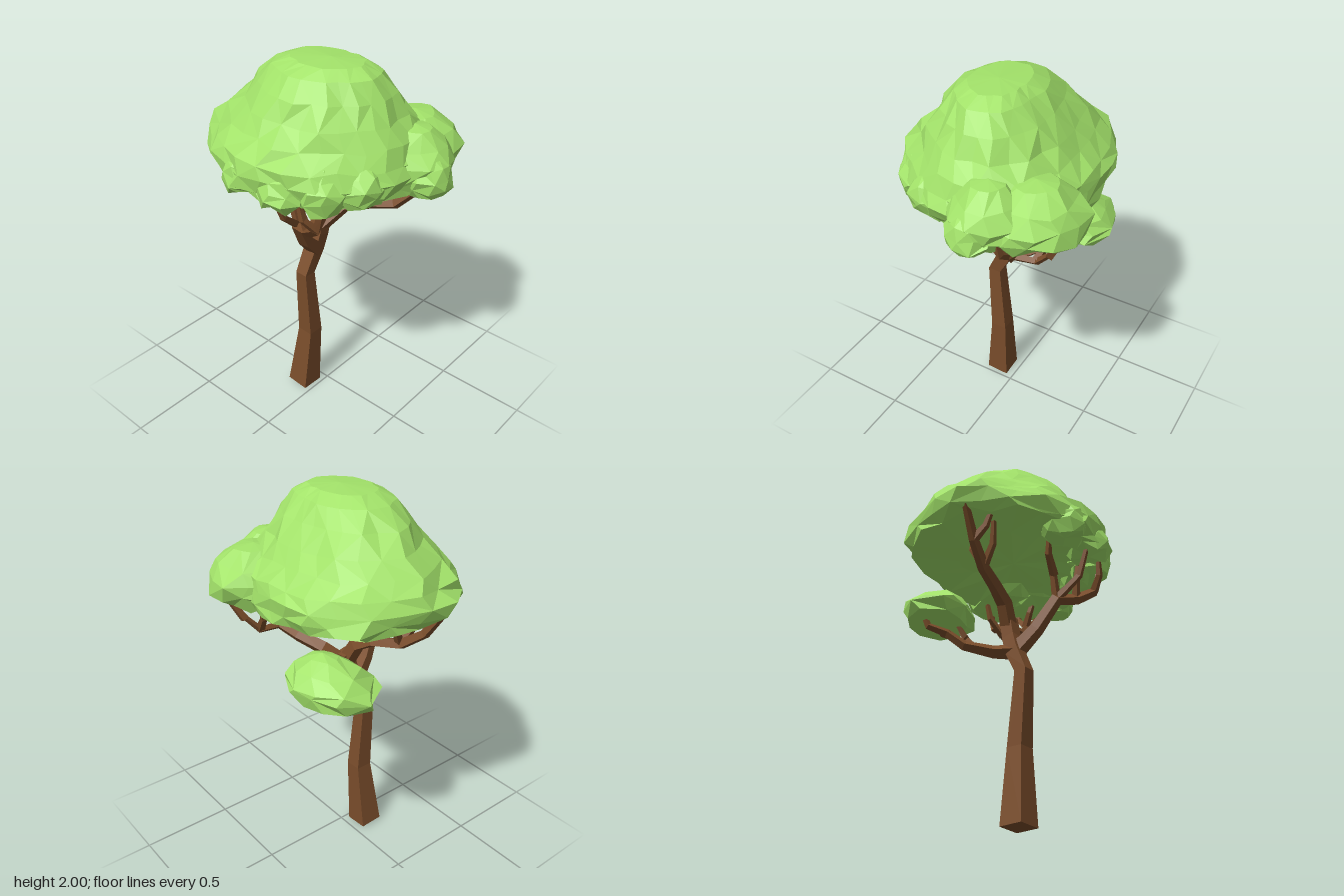
import * as THREE from 'three';

const bark = new THREE.MeshStandardMaterial({ color: 0x7a4d2b, flatShading: true });
const leaf = new THREE.MeshStandardMaterial({ color: 0xa3e36a, flatShading: true });

// Repeatable noise in -1..1
const noise = (a, b) => {
  const s = Math.sin(a * 127.1 + b * 311.7) * 43758.5453;
  return (s - Math.floor(s)) * 2 - 1;
};

// Skin a stack of closed rings and cap both ends
function loft(rings, capStart, capEnd) {
  const n = rings[0].length, pos = [], idx = [];
  rings.forEach(r => r.forEach(p => pos.push(p.x, p.y, p.z)));
  for (let i = 0; i < rings.length - 1; i++) {
    for (let j = 0; j < n; j++) {
      const k = (j + 1) % n, a = i * n + j, b = i * n + k, c = b + n, d = a + n;
      if ((i + j) % 2) idx.push(a, b, c, a, c, d);
      else idx.push(a, b, d, b, c, d);
    }
  }
  const s = pos.length / 3, last = (rings.length - 1) * n;
  pos.push(...capStart, ...capEnd);
  for (let j = 0; j < n; j++) {
    const k = (j + 1) % n;
    idx.push(s, k, j, s + 1, last + j, last + k);
  }
  const g = new THREE.BufferGeometry();
  g.setAttribute('position', new THREE.Float32BufferAttribute(pos, 3));
  g.setIndex(idx);
  g.computeVertexNormals();
  return g;
}

// Four-sided limb through [x, y, z, half width] stations
function limb(stations) {
  const pts = stations.map(s => new THREE.Vector3(s[0], s[1], s[2]));
  const u = new THREE.Vector3(1, 0, 1).normalize();
  const rings = pts.map((p, i) => {
    const t = pts[Math.min(i + 1, pts.length - 1)].clone().sub(pts[Math.max(i - 1, 0)]).normalize();
    u.addScaledVector(t, -u.dot(t)).normalize();
    const v = t.clone().cross(u), r = stations[i][3] * Math.SQRT2;
    return [0, 1, 2, 3].map(k => {
      const a = k * Math.PI / 2;
      return p.clone().addScaledVector(u, r * Math.cos(a)).addScaledVector(v, r * Math.sin(a));
    });
  });
  return loft(rings, pts[0].toArray(), pts[pts.length - 1].toArray());
}

// Leaf clump: levels run from the top down as [scale, y]; radius(angle) gives the outline,
// squash narrows the depth towards the top
function clump({ centre: [cx, cz], top, levels, radius, sides, bottom, rough, tilt = 0, squash = 0, lean = [0, 0], seed }) {
  const y0 = levels[levels.length - 1][1];
  const rings = levels.map(([s, y], i) => Array.from({ length: sides }, (_, j) => {
    const a = ((j + (i % 2) * 0.3) / sides) * Math.PI * 2;
    const r = radius(a) * s * (1 + rough * noise(i + seed, j));
    const h = (y - y0) / (top - y0);
    const x = r * Math.cos(a), z = r * Math.sin(a) * (1 - squash * h);
    const dy = (tilt * x + rough * 0.3 * noise(j + seed, i + 40)) * (1 - h);
    return new THREE.Vector3(cx + x + lean[0] * h, y + dy, cz + z + lean[1] * h);
  }));
  return loft(rings, [cx + lean[0], top, cz + lean[1]], [cx, bottom, cz]);
}

// Interpolate evenly spaced outline radii
const outline = radii => a => {
  const f = (a / (Math.PI * 2)) * radii.length, i = Math.floor(f);
  return THREE.MathUtils.lerp(radii[i % radii.length], radii[(i + 1) % radii.length], f - i);
};

export function createModel() {
  const tree = new THREE.Group();
  tree.name = 'tree';
  const add = (name, geometry, material) => {
    const m = new THREE.Mesh(geometry, material);
    m.name = name;
    tree.add(m);
  };

  // Trunk with its bends and crotch
  add('trunk', limb([[-0.088, 0.01, 0.105, 0.064], [-0.055, 0.4, 0.085, 0.045], [-0.056, 0.8, 0.115, 0.035],
    [-0.05, 0.93, 0.05, 0.038], [-0.04, 1.02, 0.02, 0.036], [-0.035, 1.14, -0.005, 0.035]]), bark);

  // Main boughs
  const boughs = {
    leftFacingBough: [[-0.035, 1.08, 0, 0.032], [-0.1, 1.2, 0.02, 0.03], [-0.2, 1.255, 0.04, 0.025],
      [-0.35, 1.28, 0.09, 0.022], [-0.47, 1.37, 0.13, 0.018], [-0.57, 1.52, 0.16, 0.013]],
    rearBough: [[-0.035, 1.06, 0.01, 0.032], [0.04, 1.16, -0.09, 0.028], [0.17, 1.2, -0.15, 0.025],
      [0.3, 1.23, -0.18, 0.022], [0.39, 1.32, -0.22, 0.018], [0.5, 1.4, -0.24, 0.014], [0.52, 1.48, -0.24, 0.011]],
    frontBough: [[-0.04, 0.93, 0.05, 0.034], [-0.005, 1.04, 0.16, 0.028], [0.04, 1.2, 0.26, 0.025],
      [0.15, 1.23, 0.31, 0.022], [0.25, 1.3, 0.36, 0.018], [0.28, 1.39, 0.37, 0.014], [0.29, 1.48, 0.37, 0.011]],
    lowBough: [[-0.05, 0.93, 0.04, 0.032], [-0.11, 0.93, -0.04, 0.026], [-0.22, 0.96, -0.15, 0.02],
      [-0.28, 1.03, -0.22, 0.017], [-0.36, 1.06, -0.28, 0.014], [-0.38, 1.13, -0.3, 0.011]]
  };
  for (const [name, path] of Object.entries(boughs)) add(name, limb(path), bark);

  // Forked twigs: start, elbow and tip
  const twigs = [
    [[-0.35, 1.28, 0.09], [-0.37, 1.38, 0.17], [-0.4, 1.51, 0.2]],
    [[-0.34, 1.28, 0.09], [-0.37, 1.4, 0.03], [-0.33, 1.51, 0.0]],
    [[-0.47, 1.37, 0.13], [-0.46, 1.43, 0.2], [-0.46, 1.51, 0.24]],
    [[0.29, 1.23, -0.18], [0.28, 1.24, -0.31], [0.31, 1.34, -0.4]],
    [[0.3, 1.32, -0.39], [0.33, 1.41, -0.44], [0.34, 1.48, -0.45]],
    [[0.28, 1.25, -0.31], [0.2, 1.34, -0.34], [0.18, 1.48, -0.36]],
    [[0.39, 1.32, -0.22], [0.42, 1.4, -0.3], [0.43, 1.48, -0.32]],
    [[0.38, 1.31, -0.22], [0.36, 1.39, -0.17], [0.37, 1.48, -0.14]],
    [[0.04, 1.2, 0.26], [0, 1.36, 0.27], [-0.01, 1.48, 0.24]],
    [[0.01, 1.33, 0.27], [-0.09, 1.4, 0.31], [-0.11, 1.48, 0.33]],
    [[0.04, 1.2, 0.26], [0.07, 1.31, 0.39], [0.06, 1.48, 0.46]],
    [[0.15, 1.23, 0.31], [0.13, 1.33, 0.33], [0.14, 1.48, 0.35]],
    [[0.25, 1.3, 0.36], [0.22, 1.37, 0.42], [0.2, 1.48, 0.43]],
    [[-0.18, 0.95, -0.11], [-0.16, 1.03, -0.19], [-0.21, 1.13, -0.23]],
    [[-0.17, 1.02, -0.18], [-0.13, 1.06, -0.23], [-0.15, 1.13, -0.27]],
    [[-0.27, 1.02, -0.21], [-0.25, 1.06, -0.29], [-0.27, 1.13, -0.34]]
  ];
  for (const path of twigs) add('twig', limb(path.map((p, i) => [...p, 0.017 - i * 0.004])), bark);

  // Main domed crown
  add('crown', clump({
    centre: [0, 0], top: 2, bottom: 1.5, sides: 26, rough: 0.055, tilt: -0.06, squash: 0.2, lean: [0.05, 0.03], seed: 3,
    radius: outline([0.54, 0.5, 0.5, 0.51, 0.53, 0.56, 0.56, 0.57, 0.58, 0.61, 0.62, 0.65,
      0.66, 0.63, 0.62, 0.59, 0.55, 0.5, 0.48, 0.49, 0.52, 0.54, 0.54, 0.54]),
    levels: [[0.32, 1.99], [0.47, 1.95], [0.6, 1.865], [0.72, 1.77], [0.84, 1.69], [0.94, 1.62],
      [0.99, 1.56], [0.97, 1.49], [0.9, 1.45], [0.5, 1.48]]
  }), leaf);

  // Overlapping clumps on the crown's rim: x, z, radius, low, top, sides
  const rim = [
    [0.3, -0.31, 0.25, 1.42, 1.71, 13], [0.42, -0.14, 0.2, 1.42, 1.72, 11],
    [0.53, -0.11, 0.125, 1.41, 1.62, 9], [0.36, 0.19, 0.14, 1.42, 1.64, 9],
    [0.26, 0.33, 0.13, 1.42, 1.64, 9], [0.11, 0.43, 0.13, 1.42, 1.62, 9],
    [-0.11, 0.43, 0.13, 1.43, 1.63, 9]
  ];
  rim.forEach(([x, z, r, low, top, sides], i) => {
    const at = f => low + (top - low) * f;
    add('rimClump', clump({
      centre: [x, z], top, bottom: at(0.04), sides, rough: 0.1, seed: 11 + i * 7, radius: () => r,
      levels: [[0.4, at(0.95)], [0.74, at(0.72)], [0.96, at(0.46)], [0.96, at(0.24)], [0.75, at(0.05)]]
    }), leaf);
  });

  // Small low crown on its own bough
  add('lowCrown', clump({
    centre: [-0.295, -0.28], top: 1.305, bottom: 1.1, sides: 9, rough: 0.06, lean: [0.08, -0.01], seed: 60,
    radius: a => 0.21 + 0.025 * Math.cos(2 * a) - 0.025 * Math.sin(2 * a),
    levels: [[0.32, 1.285], [0.7, 1.235], [0.95, 1.18], [1, 1.145], [0.82, 1.09]]
  }), leaf);

  return tree;
}
